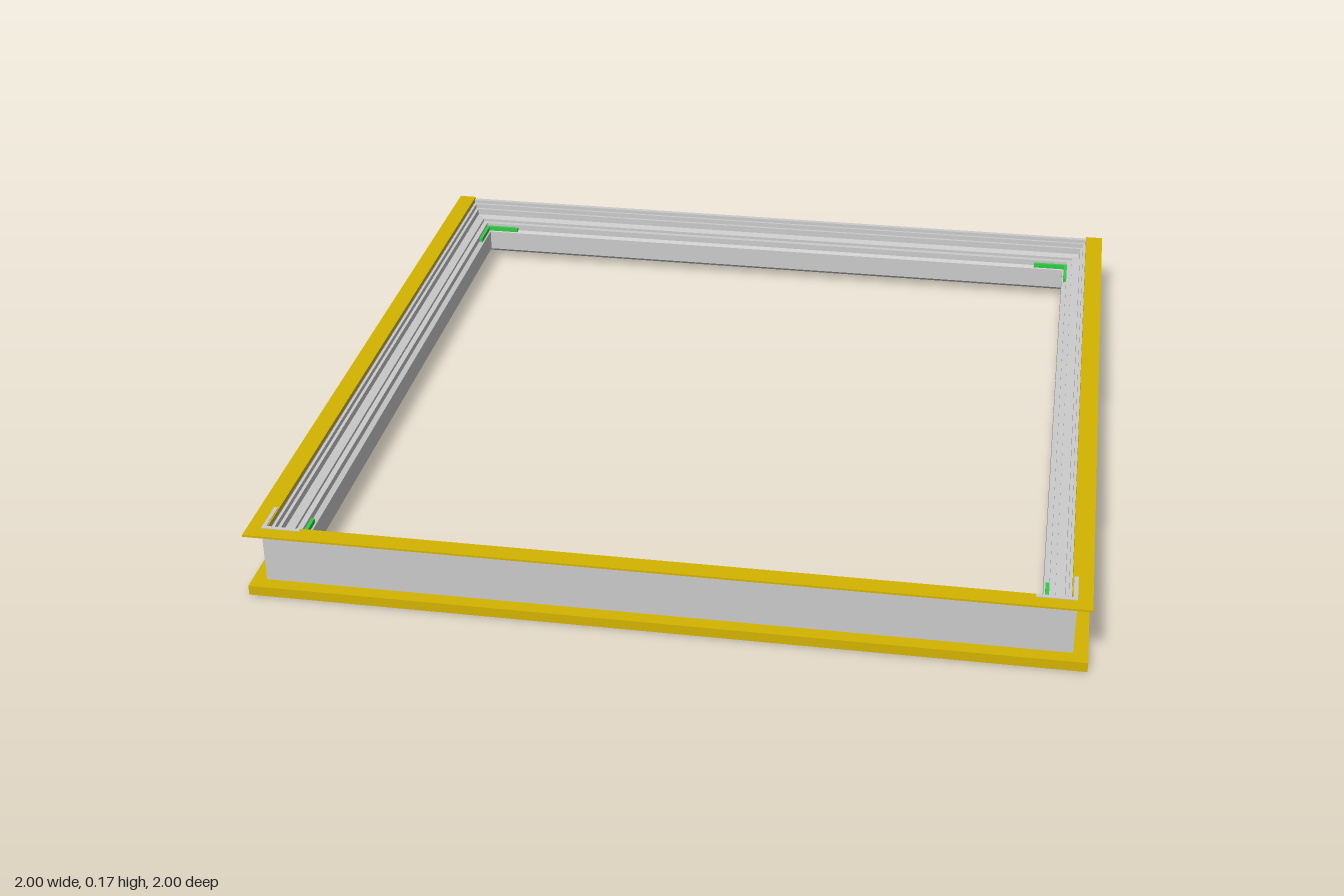
import * as THREE from 'three';

const GREY = new THREE.MeshStandardMaterial({ color: 0xcccccc, flatShading: true });
const GOLD = new THREE.MeshStandardMaterial({ color: 0xd4b400, flatShading: true });
const GREEN = new THREE.MeshStandardMaterial({ color: 0x33cc44, flatShading: true });

// Sweeps a counter-clockwise [inset, y] profile along mitred corners given by corners(inset).
function sweep(profile, corners, closed) {
  const pos = [];
  const at = ([u, y], k) => {
    const c = corners(u);
    const [x, z] = c[k % c.length];
    return [x, y, z];
  };
  const tri = (a, b, c) => pos.push(...a, ...b, ...c);
  const count = corners(0).length;
  const legs = closed ? count : count - 1;
  for (let k = 0; k < legs; k++) {
    profile.forEach((p, i) => {
      const q = profile[(i + 1) % profile.length];
      const a = at(p, k), b = at(q, k), c = at(q, k + 1), d = at(p, k + 1);
      tri(a, b, c);
      tri(a, c, d);
    });
  }
  if (!closed) {
    const pts = profile.map(([u, y]) => new THREE.Vector2(u, y));
    for (const [a, b, c] of THREE.ShapeUtils.triangulateShape(pts, [])) {
      tri(at(profile[c], 0), at(profile[b], 0), at(profile[a], 0));
      tri(at(profile[a], legs), at(profile[b], legs), at(profile[c], legs));
    }
  }
  const geo = new THREE.BufferGeometry();
  geo.setAttribute('position', new THREE.Float32BufferAttribute(pos, 3));
  geo.computeVertexNormals();
  return geo;
}

// Closed rectangle of the frame, inset on all four sides
const frameCorners = (u) => [
  [-0.965 + u, -1 + u], [-0.965 + u, 0.965 - u], [0.965 - u, 0.965 - u], [0.965 - u, -1 + u],
];
// Three-sided trim path, open at the back
const trimCorners = (u) => [[-1 + u, -1], [-1 + u, 1 - u], [1 - u, 1 - u], [1 - u, -1]];

export function createModel() {
  const group = new THREE.Group();
  const add = (name, geo, mat, parent = group) => {
    const mesh = new THREE.Mesh(geo, mat);
    mesh.name = name;
    parent.add(mesh);
    return mesh;
  };

  // Stepped frame with a chamfered underside and low inner lip
  add('steppedFrame', sweep([
    [0, 0.018], [0.058, 0.018], [0.077, 0.032], [0.077, 0.09], [0.064, 0.095],
    [0.064, 0.112], [0.05, 0.112], [0.05, 0.12], [0.028, 0.124], [0.028, 0.142],
    [0.02, 0.142], [0.02, 0.155], [0.013, 0.155], [0.013, 0.165], [0, 0.165],
  ], frameCorners, true), GREY);

  // Thin tapered flange on the top edge
  add('topFlange', sweep([
    [0, 0.165], [0.035, 0.16], [0.048, 0.16], [0.048, 0.17], [0, 0.17],
  ], trimCorners, false), GOLD);

  // Down-turned angle around the bottom edge
  add('bottomFlange', sweep([
    [0, 0], [0.008, 0], [0.008, 0.017], [0.04, 0.017], [0.04, 0.025], [0, 0.025],
  ], trimCorners, false), GOLD);

  // L-shaped piece fitted into a frame corner; sx and sz choose the corner
  const cornerPiece = (name, mat, sx, sz, inset, width, y0, y1, length) => {
    const piece = new THREE.Group();
    piece.name = name;
    const x = 0.965 - inset, z = (sz > 0 ? 0.965 : 1) - inset, y = (y0 + y1) / 2;
    add('legAcross', new THREE.BoxGeometry(length, y1 - y0, width), mat, piece)
      .position.set(sx * (x - length / 2), y, sz * (z - width / 2));
    add('legAlong', new THREE.BoxGeometry(width, y1 - y0, length - width), mat, piece)
      .position.set(sx * (x - width / 2), y, sz * (z - (length + width) / 2));
    group.add(piece);
  };

  for (const sx of [-1, 1]) {
    cornerPiece('frontCornerBracket', GREY, sx, 1, 0, 0.01, 0.165, 0.172, 0.095);
    for (const sz of [-1, 1]) {
      cornerPiece('cornerSeal', GREEN, sx, sz, 0.063, 0.01, 0.07, 0.104, 0.1);
    }
  }
  return group;
}
